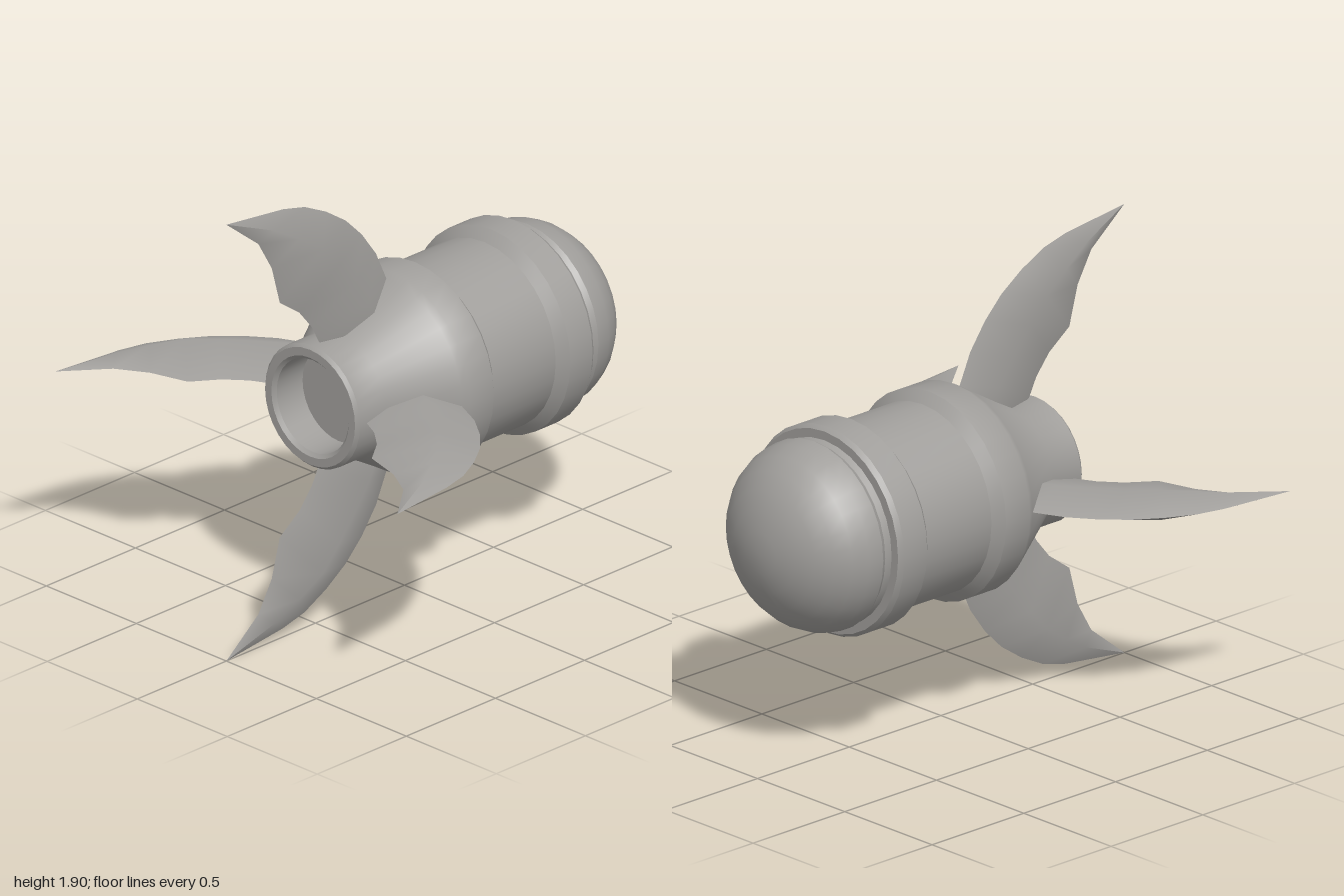
import * as THREE from 'three';
import { toCreasedNormals } from 'three/addons/utils/BufferGeometryUtils.js';

const AXIS_Y = 0.95;

// Turned part whose axis lies along x; points are [x, radius] from tail to nose
function turned(points, material, name) {
  const profile = points.map(([x, r]) => new THREE.Vector2(r, x));
  const geometry = new THREE.LatheGeometry(profile, 32);
  geometry.rotateZ(-Math.PI / 2);
  const mesh = new THREE.Mesh(toCreasedNormals(geometry, 0.6), material);
  mesh.name = name;
  return mesh;
}

// Swept fin rows from tip to root: outer edge, thick ridge, inner edge [x, radius], half thickness
const FIN_ROWS = [
  [[-1, 0.95], [-1, 0.95], [-1, 0.95], 0],
  [[-0.68, 0.912], [-0.76, 0.855], [-0.82, 0.806], 0.032],
  [[-0.56, 0.882], [-0.64, 0.785], [-0.745, 0.676], 0.05],
  [[-0.44, 0.822], [-0.52, 0.705], [-0.7, 0.511], 0.064],
  [[-0.33, 0.747], [-0.43, 0.607], [-0.59, 0.431], 0.064],
  [[-0.24, 0.657], [-0.34, 0.497], [-0.52, 0.346], 0.064],
  [[-0.16, 0.547], [-0.26, 0.387], [-0.48, 0.267], 0.064],
  [[-0.1, 0.415], [-0.2, 0.267], [-0.4, 0.227], 0.064],
];

// One smooth face of the fin; side is +1 or -1 along z
function finFace(side) {
  const positions = [];
  const index = [];
  FIN_ROWS.forEach(([outer, ridge, inner, t]) => {
    positions.push(...outer, 0, ...ridge, side * t, ...inner, 0);
  });
  const triangle = (a, b, c) => index.push(...(side > 0 ? [a, b, c] : [a, c, b]));
  for (let i = 0; i < FIN_ROWS.length - 1; i++) {
    for (let j = 0; j < 2; j++) {
      const a = i * 3 + j;
      if (i > 0) triangle(a, a + 1, a + 3);
      triangle(a + 1, a + 4, a + 3);
    }
  }
  const geometry = new THREE.BufferGeometry();
  geometry.setAttribute('position', new THREE.Float32BufferAttribute(positions, 3));
  geometry.setIndex(index);
  geometry.computeVertexNormals();
  return geometry;
}

export function createModel() {
  const model = new THREE.Group();
  model.name = 'rocket';
  const grey = new THREE.MeshStandardMaterial({ color: 0xa09e9b });
  grey.name = 'warm grey';

  // Hollow nozzle, flared tail, barrel and collar
  const body = turned([
    [-0.37, 0], [-0.37, 0.2], [-0.515, 0.2], [-0.53, 0.215], [-0.53, 0.25],
    [-0.515, 0.263], [-0.365, 0.263], [-0.1, 0.42], [-0.07, 0.437], [0.06, 0.437],
    [0.1, 0.395], [0.45, 0.395], [0.49, 0.437], [0.615, 0.437], [0.635, 0.422],
    [0.635, 0.385], [0.66, 0.38],
  ], grey, 'body');

  // Rounded nose with a small lip behind it
  const dome = [[0.64, 0.385], [0.665, 0.38], [0.69, 0.395]];
  for (let i = 1; i <= 7; i++) {
    const a = (i / 7) * Math.PI / 2;
    dome.push([0.69 + 0.303 * Math.sin(a), i === 7 ? 0 : 0.395 * Math.cos(a)]);
  }
  model.add(body, turned(dome, grey, 'nose'));

  // Four fins around the tail
  const faces = [finFace(1), finFace(-1)];
  const names = ['topFin', 'frontFin', 'bottomFin', 'backFin'];
  names.forEach((name, i) => {
    const fin = new THREE.Group();
    fin.name = name;
    faces.forEach((geometry) => {
      const mesh = new THREE.Mesh(geometry, grey);
      mesh.name = 'finFace';
      fin.add(mesh);
    });
    fin.rotation.x = (i * Math.PI) / 2;
    model.add(fin);
  });

  model.children.forEach((part) => { part.position.y = AXIS_Y; });
  return model;
}
